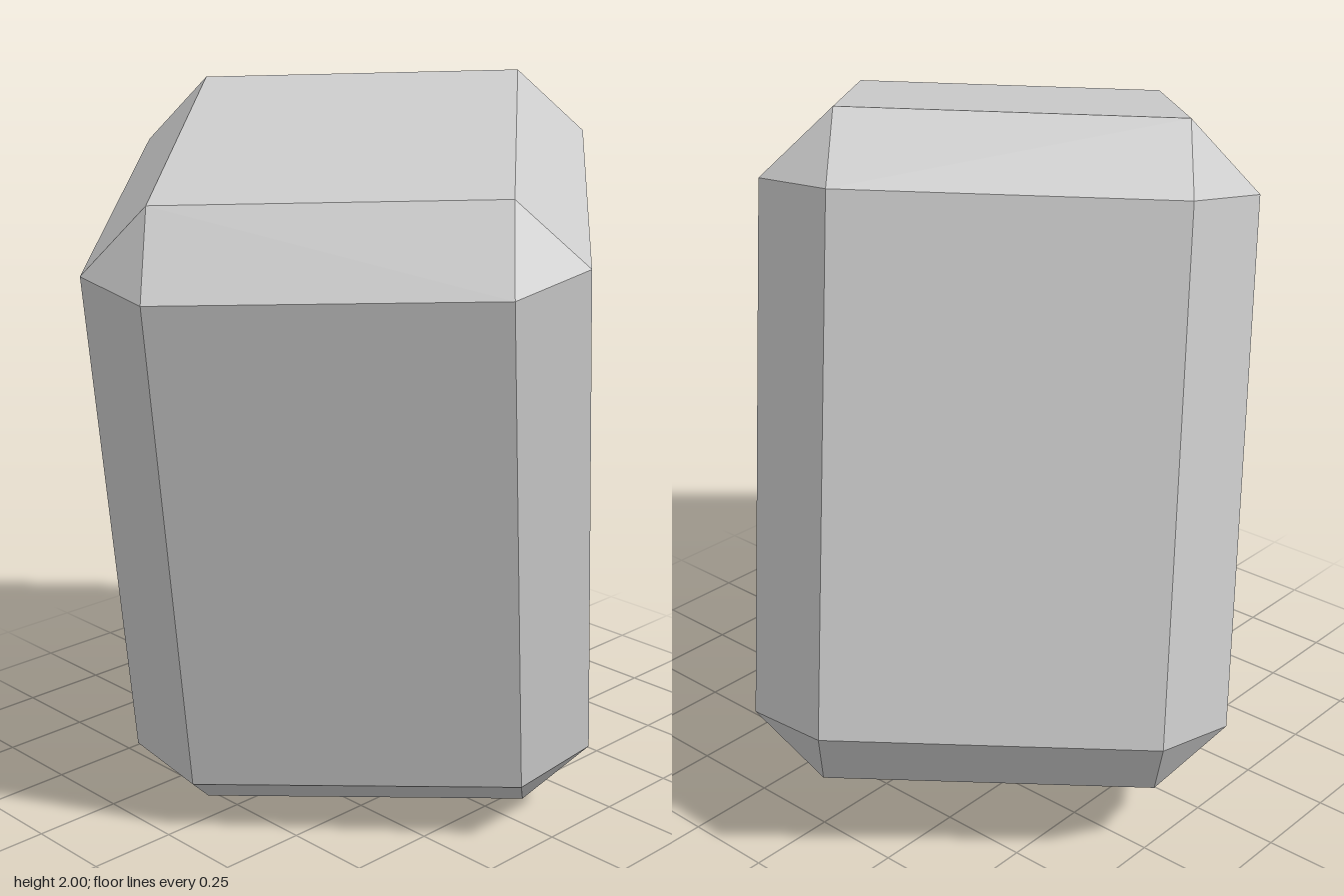
import * as THREE from 'three';
import { ConvexGeometry } from 'three/addons/geometries/ConvexGeometry.js';

// Box with every edge and corner cut flat by the same bevel
function chamferedBox(hx, hy, hz, bevel) {
  const half = [hx, hy, hz];
  const points = [];
  for (const sx of [-1, 1]) for (const sy of [-1, 1]) for (const sz of [-1, 1]) {
    const signs = [sx, sy, sz];
    // each corner becomes a triangle: one point on each neighbouring face
    for (let face = 0; face < 3; face++) {
      points.push(new THREE.Vector3(
        ...half.map((h, axis) => signs[axis] * (axis === face ? h : h - bevel))));
    }
  }
  return new ConvexGeometry(points);
}

export function createModel() {
  const group = new THREE.Group();
  group.name = 'tiltedBlock';

  const material = new THREE.MeshStandardMaterial({ color: 0xcccccc, flatShading: true });
  const block = new THREE.Mesh(chamferedBox(0.637, 0.907, 0.695, 0.186), material);
  block.name = 'chamferedBlock';

  // Tilt: the block's own width, height and depth directions
  const width = new THREE.Vector3(0.755, 0.033, -0.655).normalize();
  const depth = new THREE.Vector3(0.649, -0.187, 0.737).normalize();
  const height = new THREE.Vector3().crossVectors(depth, width).normalize();
  depth.crossVectors(width, height);
  block.quaternion.setFromRotationMatrix(new THREE.Matrix4().makeBasis(width, height, depth));
  block.position.y = 1;

  group.add(block);
  return group;
}
